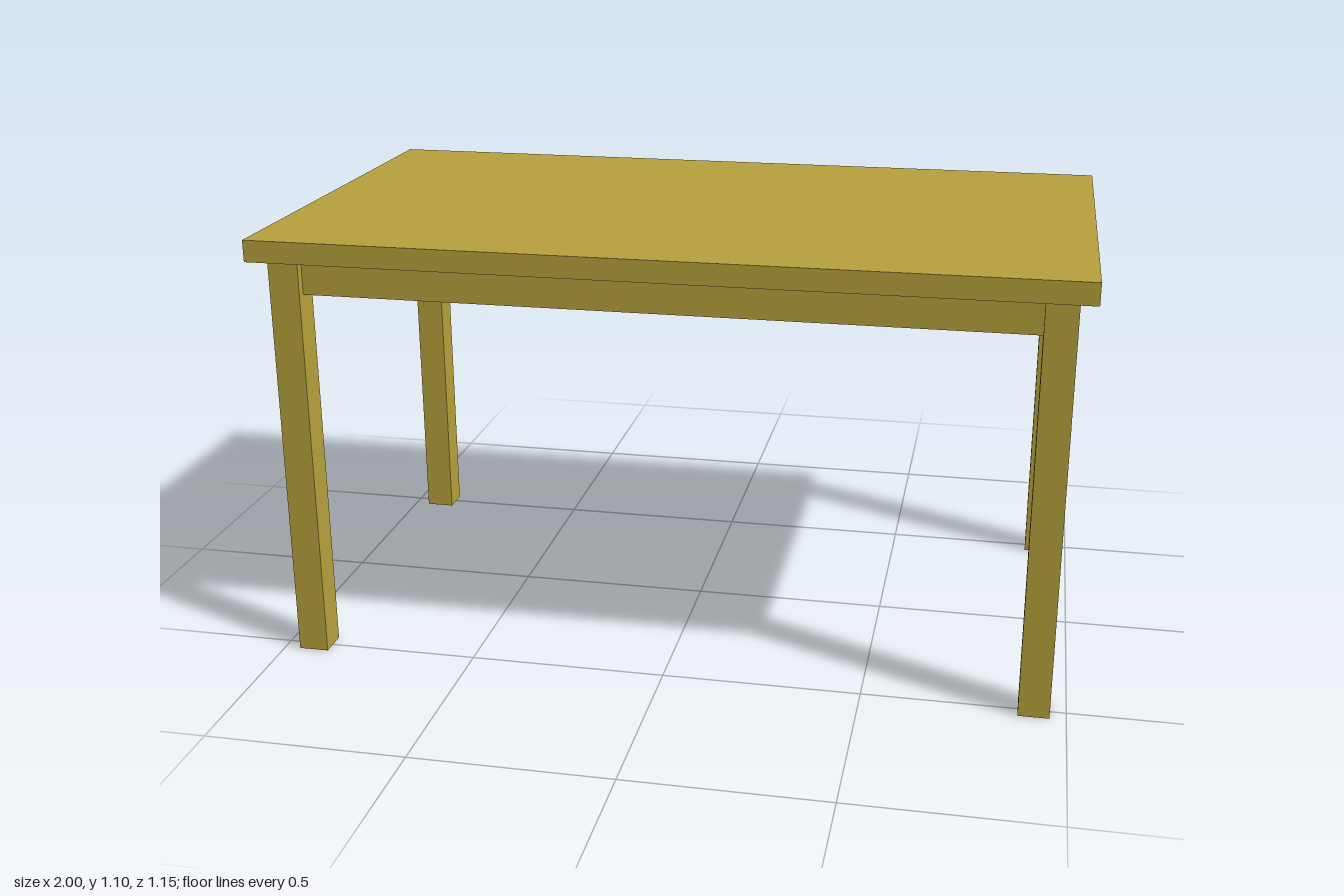
import * as THREE from 'three';

export function createModel() {
  const table = new THREE.Group();
  table.name = 'table';
  const wood = new THREE.MeshStandardMaterial({ color: 0xb8a23c });

  // Box resting on height y
  const board = (name, w, h, d, x, y, z) => {
    const mesh = new THREE.Mesh(new THREE.BoxGeometry(w, h, d), wood);
    mesh.name = name;
    mesh.position.set(x, y + h / 2, z);
    table.add(mesh);
  };

  const legHeight = 1.045, legSize = 0.076;
  const legX = 0.922, legZ = 0.497; // leg centres
  const apronHeight = 0.092, apronThickness = 0.03;
  const apronY = legHeight - apronHeight;

  board('tabletop', 2, 0.054, 1.152, 0, legHeight, 0);

  // Square legs at the four corners
  for (const sx of [1, -1]) {
    for (const sz of [1, -1]) {
      const name = (sz > 0 ? 'front' : 'back') + (sx > 0 ? 'Left' : 'Right') + 'Leg';
      board(name, legSize, legHeight, legSize, sx * legX, 0, sz * legZ);
    }
  }

  // Aprons between the legs, slightly recessed from the leg faces
  for (const s of [1, -1]) {
    board(s > 0 ? 'frontApron' : 'backApron',
      2 * legX - legSize, apronHeight, apronThickness, 0, apronY, s * legZ);
    board(s > 0 ? 'leftApron' : 'rightApron',
      apronThickness, apronHeight, 2 * legZ - legSize, s * legX, apronY, 0);
  }

  return table;
}
